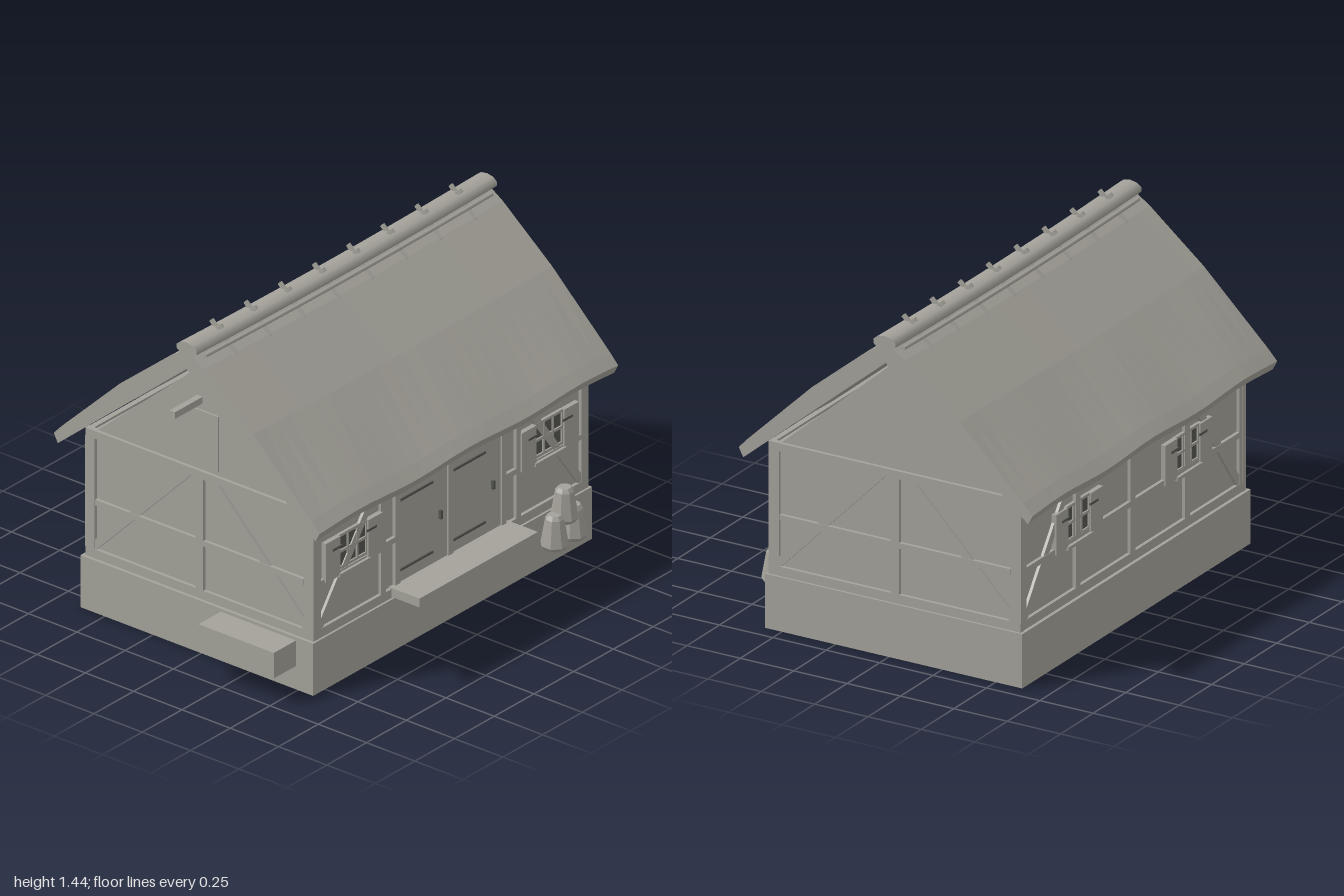
import * as THREE from 'three';

export function createModel() {
  const house = new THREE.Group();
  house.name = 'house';
  const stone = new THREE.MeshStandardMaterial({ color: 0xa3a199 });
  stone.name = 'warm grey';
  const dark = new THREE.MeshStandardMaterial({ color: 0x55554f });
  dark.name = 'dark grey';
  const MX = 0.055, MZ = -0.022; // middle of the building

  function add(parent, name, geo, mat = stone) {
    const mesh = new THREE.Mesh(geo, mat);
    mesh.name = name;
    parent.add(mesh);
    return mesh;
  }
  // box given by its low and high corners
  function box(parent, name, x0, x1, y0, y1, z0, z1, mat) {
    const m = add(parent, name, new THREE.BoxGeometry(x1 - x0, y1 - y0, z1 - z0), mat);
    m.position.set((x0 + x1) / 2, (y0 + y1) / 2, (z0 + z1) / 2);
    return m;
  }
  // outline of [across, height] points drawn out along x
  function prism(points, x0, x1, steps = 1) {
    const shape = new THREE.Shape(points.map(p => new THREE.Vector2(p[0], p[1])));
    const geo = new THREE.ExtrudeGeometry(shape, { depth: x1 - x0, steps, bevelEnabled: false });
    return geo.rotateY(Math.PI / 2).translate(x0, 0, MZ);
  }
  function wallGroup(name, x, z, turn) {
    const g = new THREE.Group();
    g.name = name;
    g.position.set(x, 0, z);
    g.rotation.y = turn;
    house.add(g);
    return g;
  }
  const timber = (g, x0, x1, y0, y1) => box(g, 'timber', x0, x1, y0, y1, -0.01, 0.015);
  // diagonal timber between two points of a wall
  function brace(g, x0, y0, x1, y1) {
    const len = Math.hypot(x1 - x0, y1 - y0);
    const m = add(g, 'brace', new THREE.BoxGeometry(len, 0.036, 0.022));
    m.position.set((x0 + x1) / 2, (y0 + y1) / 2, 0.002);
    m.rotation.z = Math.atan2(y1 - y0, x1 - x0);
  }
  function shutteredWindow(g, cx) {
    const w = 0.088, y0 = 0.5, y1 = 0.645;
    box(g, 'windowGlass', cx - w, cx + w, y0, y1, 0.001, 0.007, dark);
    for (const x of [-w, -0.029, 0.029, w])
      box(g, 'windowBar', cx + x - 0.005, cx + x + 0.005, y0, y1, 0, 0.014);
    for (const y of [y0, (y0 + y1) / 2, y1])
      box(g, 'windowBar', cx - w, cx + w, y - 0.006, y + 0.006, 0, 0.014);
    box(g, 'windowLedge', cx - w - 0.01, cx + w + 0.01, 0.468, 0.482, 0, 0.028);
    for (const s of [-1, 1]) {
      const c = cx + s * 0.134;
      box(g, 'shutter', c - 0.046, c + 0.046, 0.475, 0.65, 0, 0.022);
      const h = cx + s * 0.108;
      box(g, 'shutterHinge', h - 0.03, h + 0.03, 0.6, 0.61, 0.02, 0.025, dark);
    }
  }

  // stone base, plaster walls and gable
  box(house, 'base', -0.825, 0.93, 0, 0.235, -0.625, 0.58);
  box(house, 'walls', -0.795, 0.905, 0.23, 0.8, -0.595, 0.555);
  add(house, 'gable', prism([[-0.56, 0.79], [0.56, 0.79], [0, 1.28]], -0.795, 0.905));

  // long walls: front and back
  const front = wallGroup('frontWall', MX, 0.555, 0);
  const back = wallGroup('backWall', MX, -0.595, Math.PI);
  for (const g of [front, back]) {
    timber(g, -0.865, 0.865, 0.235, 0.275);
    timber(g, -0.865, 0.865, 0.765, 0.81);
    for (const s of [-1, 1]) {
      timber(g, s * 0.842 - 0.023, s * 0.842 + 0.023, 0.275, 0.765);
      brace(g, s * 0.83, 0.27, s * 0.46, 0.775);
      shutteredWindow(g, s * (g === front ? 0.616 : 0.42));
    }
  }
  for (const x of [-0.42, 0, 0.42]) timber(back, x - 0.018, x + 0.018, 0.275, 0.765);
  timber(back, -0.82, 0.82, 0.475, 0.5);

  // double doors with their posts, hinges and handles
  for (const s of [-1, 1]) {
    timber(front, s * 0.425 - 0.015, s * 0.425 + 0.015, 0.275, 0.765);
    timber(front, s * 0.335 - 0.015, s * 0.335 + 0.015, 0.275, 0.765);
    timber(front, s * 0.38 - 0.03, s * 0.38 + 0.03, 0.475, 0.5);
    timber(front, s * 0.63 - 0.19, s * 0.63 + 0.19, 0.467, 0.49);
    box(front, 'door', s * 0.168 - 0.152, s * 0.168 + 0.152, 0.275, 0.76, -0.005, 0.007);
    const hx = s < 0 ? -0.212 : 0.12;
    for (const y of [0.335, 0.65])
      box(front, 'doorHinge', hx - 0.103, hx + 0.103, y - 0.005, y + 0.005, 0.006, 0.013, dark);
    const kx = s < 0 ? -0.064 : 0.268;
    box(front, 'doorHandle', kx - 0.006, kx + 0.006, 0.467, 0.505, 0.006, 0.02, dark);
  }
  timber(front, -0.016, 0.016, 0.275, 0.765);

  // gable-end walls
  const right = wallGroup('leftEndWall', 0.905, MZ, Math.PI / 2);
  const left = wallGroup('rightEndWall', -0.795, MZ, -Math.PI / 2);
  for (const g of [right, left]) {
    timber(g, -0.59, 0.59, 0.235, 0.275);
    timber(g, -0.59, 0.59, 0.775, 0.81);
    timber(g, -0.54, 0.54, 0.475, 0.5);
    timber(g, -0.02, 0.02, 0.275, 0.775);
    for (const s of [-1, 1]) {
      timber(g, s * 0.567 - 0.024, s * 0.567 + 0.024, 0.275, 0.775);
      brace(g, s * 0.55, 0.285, s * 0.06, 0.785);
    }
  }
  // loft hatch and hoist beam
  box(left, 'loftHatch', -0.09, 0.09, 0.83, 1.08, -0.005, 0.008);
  box(house, 'hoistBeam', -0.97, -0.79, 1.11, 1.14, -0.045, -0.017);

  // thatched roof with a sagging ridge and wavy eaves
  const half = [[0.09, 1.326], [0.345, 1.117], [0.645, 0.835], [0.688, 0.79], [0.667, 0.75]];
  const outline = [[0, 1.385], ...half, [0, 1.297],
    ...half.map(p => [-p[0], p[1]]).reverse()];
  const sag = x => 0.012 * (Math.pow((x - MX) / 0.94, 2) - 0.6);
  const roof = prism(outline, -0.89, 0.99, 24);
  const p = roof.attributes.position;
  for (let i = 0; i < p.count; i++) {
    const x = p.getX(i), y = p.getY(i);
    const low = THREE.MathUtils.clamp((1.1 - y) / 0.3, 0, 1);
    p.setY(i, y + sag(x) * (1 - low) + low * 0.007 * Math.sin(x * 9 + 1));
  }
  roof.computeVertexNormals();
  add(house, 'roof', roof);

  // ridge roll and the two poles beside it
  function pole(name, x0, x1, y, z, ry, rz, sides) {
    const geo = new THREE.CylinderGeometry(1, 1, x1 - x0, sides, 12);
    geo.rotateY(Math.PI / sides).rotateZ(Math.PI / 2).scale(1, ry, rz);
    geo.translate((x0 + x1) / 2, y, z);
    const q = geo.attributes.position;
    for (let i = 0; i < q.count; i++) q.setY(i, q.getY(i) + sag(q.getX(i)));
    add(house, name, geo);
  }
  pole('ridgeRoll', -0.89, 1, 1.386, MZ, 0.031, 0.054, 10);
  for (const s of [-1, 1]) pole('ridgePole', -0.85, 0.955, 1.362, MZ + s * 0.062, 0.009, 0.009, 6);

  // crossed pegs over the ridge
  for (let i = 0; i < 8; i++) {
    const x = -0.7 + i * 0.215;
    for (const s of [-1, 1]) {
      const peg = add(house, 'ridgePeg', new THREE.BoxGeometry(0.014, 0.016, 0.172));
      peg.position.set(x + s * 0.006, 1.377 + sag(x), MZ + s * 0.031);
      peg.rotation.x = s * 0.73;
    }
  }

  // door step, side block and stacked sacks
  box(house, 'doorStep', -0.32, 0.425, 0.24, 0.28, 0.55, 0.715);
  box(house, 'sideBlock', -1, -0.86, 0.13, 0.245, 0.13, 0.52);
  const sackProfile = [[0, 0], [0.045, 0], [0.06, 0.02], [0.04, 0.135], [0.028, 0.152], [0, 0.152]]
    .map(q => new THREE.Vector2(q[0], q[1]));
  const sackGeo = new THREE.LatheGeometry(sackProfile, 8, Math.PI / 8).toNonIndexed();
  sackGeo.computeVertexNormals();
  for (const [x, y] of [[0.613, 0.11], [0.732, 0.11], [0.675, 0.21]])
    add(house, 'sack', sackGeo).position.set(x, y, 0.648);

  return house;
}
